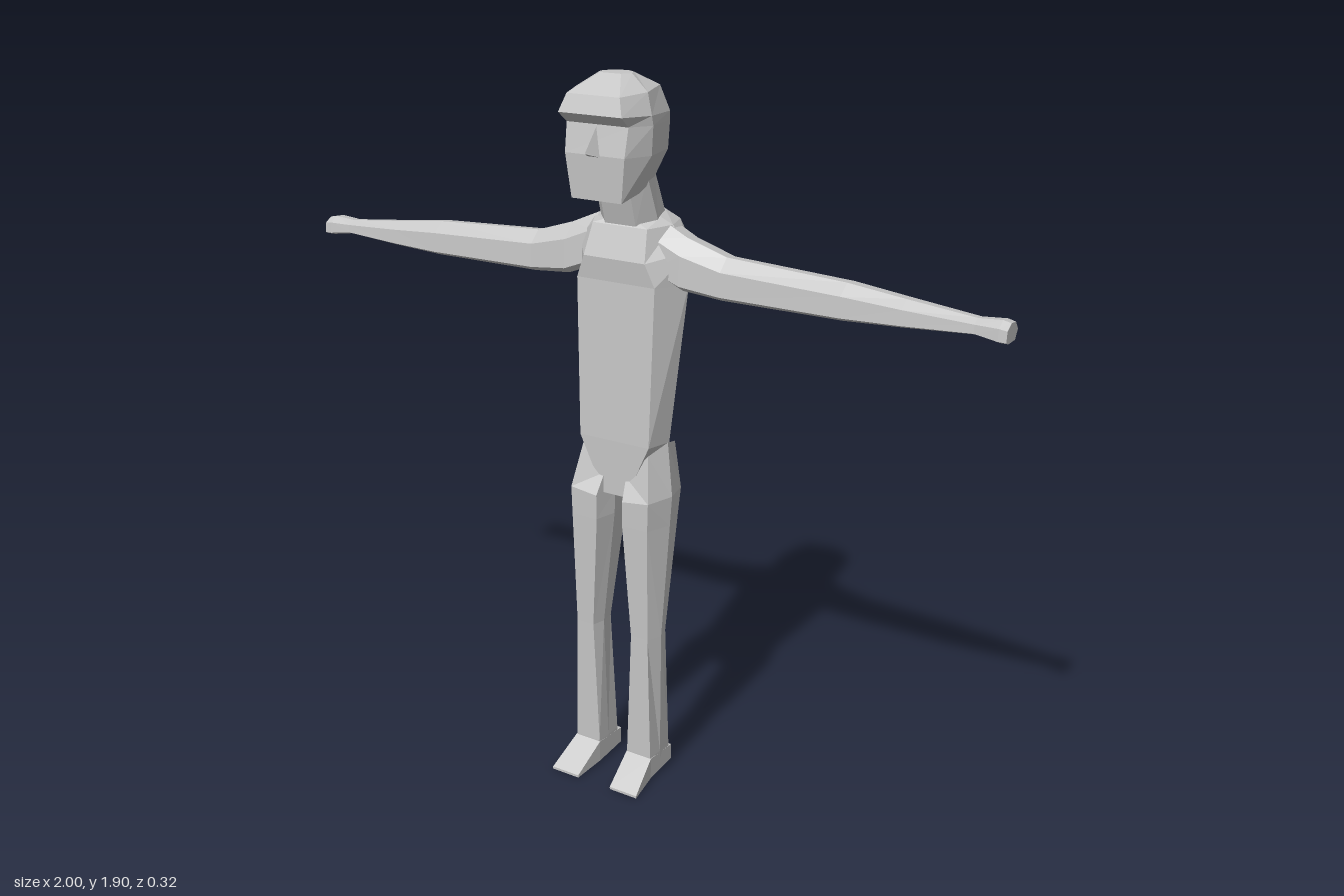
import * as THREE from 'three';

const grey = new THREE.MeshStandardMaterial({ color: 0xc6c6c6 });
grey.name = 'plainGrey';
grey.flatShading = true;

// Closed faceted skin through rings of [x, y, z] points, capped at both ends
function loft(name, rings) {
  const tris = [];
  const n = rings[0].length;
  for (let r = 0; r < rings.length - 1; r++) {
    for (let i = 0; i < n; i++) {
      const j = (i + 1) % n;
      const [a, b, c, d] = [rings[r][i], rings[r][j], rings[r + 1][j], rings[r + 1][i]];
      tris.push([a, b, c], [a, c, d]);
    }
  }
  const cap = (ring, flip) => {
    const mid = [0, 1, 2].map(k => ring.reduce((s, p) => s + p[k], 0) / n);
    ring.forEach((p, i) => {
      const q = ring[(i + 1) % n];
      tris.push(flip ? [mid, q, p] : [mid, p, q]);
    });
  };
  cap(rings[0], true);
  cap(rings[rings.length - 1], false);
  // Turn the skin outward if its signed volume is negative
  const v = p => new THREE.Vector3(...p);
  const volume = tris.reduce((s, [a, b, c]) => s + v(a).dot(v(b).cross(v(c))), 0);
  if (volume < 0) tris.forEach(t => t.reverse());
  const geo = new THREE.BufferGeometry();
  geo.setAttribute('position', new THREE.Float32BufferAttribute(tris.flat(2), 3));
  geo.computeVertexNormals();
  const mesh = new THREE.Mesh(geo, grey);
  mesh.name = name;
  return mesh;
}

// Full ring from a right-hand half profile of [x, z] points; y tilts from front to back
function mirrorRing(yFront, yBack, half, cx = 0.006) {
  const zF = half[0][1], zB = half[half.length - 1][1];
  const pt = (x, z) => [cx + x, yFront + (yBack - yFront) * (zF - z) / (zF - zB), z];
  return [...half.map(([x, z]) => pt(x, z)), ...half.slice().reverse().map(([x, z]) => pt(-x, z))];
}

function makeTorso() {
  return loft('torso', [
    mirrorRing(0.82, 0.84, [[0.035, 0.04], [0.04, 0], [0.035, -0.05], [0.01, -0.06]]),
    mirrorRing(0.97, 0.97, [[0.105, 0.042], [0.123, -0.03], [0.09, -0.09], [0.03, -0.105]]),
    mirrorRing(1.39, 1.39, [[0.115, 0.035], [0.163, -0.05], [0.115, -0.12], [0.05, -0.145]]),
    mirrorRing(1.45, 1.5, [[0.09, 0.042], [0.165, -0.05], [0.12, -0.12], [0.06, -0.16]]),
    mirrorRing(1.53, 1.54, [[0.08, 0.015], [0.115, -0.05], [0.1, -0.11], [0.05, -0.14]]),
    mirrorRing(1.54, 1.57, [[0.05, 0.005], [0.085, -0.04], [0.07, -0.085], [0.03, -0.105]]),
  ]);
}

function makeNeck() {
  return loft('neck', [
    mirrorRing(1.53, 1.56, [[0.045, 0.012], [0.085, -0.03], [0.075, -0.08], [0.03, -0.105]]),
    mirrorRing(1.66, 1.67, [[0.045, 0.05], [0.08, 0.015], [0.07, -0.035], [0.03, -0.055]]),
  ]);
}

// Head with a flat face and a recessed eye band beneath the brow
function makeHead() {
  const head = new THREE.Group();
  head.name = 'head';
  head.add(loft('skull', [
    mirrorRing(1.61, 1.65, [[0.072, 0.118], [0.08, 0.05], [0.07, -0.025], [0.03, -0.055]]),
    mirrorRing(1.72, 1.72, [[0.085, 0.125], [0.117, 0.055], [0.095, -0.055], [0.035, -0.09]]),
    mirrorRing(1.792, 1.79, [[0.088, 0.112], [0.121, 0.055], [0.1, -0.055], [0.035, -0.092]]),
    mirrorRing(1.818, 1.81, [[0.09, 0.145], [0.12, 0.06], [0.1, -0.055], [0.035, -0.088]]),
    mirrorRing(1.862, 1.875, [[0.075, 0.13], [0.102, 0.05], [0.08, -0.04], [0.03, -0.062]]),
    mirrorRing(1.905, 1.905, [[0.03, 0.055], [0.045, 0.03], [0.035, 0.005], [0.015, -0.01]]),
  ]));
  const cx = 0.004;
  head.add(loft('nose', [
    [[cx - 0.02, 1.715, 0.12], [cx + 0.02, 1.715, 0.12], [cx, 1.79, 0.11]],
    [[cx - 0.002, 1.728, 0.16], [cx + 0.002, 1.728, 0.16], [cx, 1.732, 0.16]],
  ]));
  return head;
}

// Arm stations along x: [x, yLow, yHigh, zFront, zBack]
function makeArm(side) {
  const name = side > 0 ? 'leftArm' : 'rightArm';
  const shift = -side * 0.006;
  const stations = [
    [0.09, 1.41, 1.545, 0.0, -0.13],
    [0.17, 1.38, 1.51, 0.005, -0.115],
    [0.28, 1.37, 1.475, -0.002, -0.108],
    [0.6, 1.37, 1.458, -0.002, -0.107],
    [0.75, 1.376, 1.44, -0.01, -0.098],
    [0.92, 1.386, 1.422, -0.02, -0.082],
    [0.98, 1.378, 1.428, -0.01, -0.084],
    [1.0, 1.378, 1.424, -0.01, -0.08],
  ];
  return loft(name, stations.map(([x, lo, hi, f, b]) => {
    const zf = f + shift * x, zb = b + shift * x, h = hi - lo, w = zf - zb;
    return [
      [lo + h * 0.12, zf], [lo + h * 0.7, zf - w * 0.03], [hi, zf - w * 0.35],
      [hi - h * 0.06, zf - w * 0.75], [lo + h * 0.5, zb], [lo, zb + w * 0.2], [lo, zf - w * 0.2],
    ].map(([y, z]) => [side * x, y, z]);
  }));
}

// Leg stations: [yOuter, yInner, xInner, xOuter, zFront, zBack]
function makeLeg(side) {
  const name = side > 0 ? 'leftLeg' : 'rightLeg';
  const cx = 0.006;
  const leg = new THREE.Group();
  leg.name = name;
  const stations = [
    [0.97, 0.86, 0.02, 0.122, 0.036, -0.1],
    [0.83, 0.815, 0.024, 0.146, 0.066, -0.102],
    [0.75, 0.75, 0.024, 0.143, 0.065, -0.09],
    [0.43, 0.43, 0.05, 0.13, 0.053, -0.038],
    [0.07, 0.07, 0.044, 0.123, 0.048, -0.057],
    [0.015, 0.015, 0.044, 0.122, 0.042, -0.06],
  ];
  leg.add(loft(name + 'Limb', stations.map(([yo, yi, xi, xo, f, b], k) => {
    const w = xo - xi, d = f - b;
    const e = k > 3 ? 0.03 : 0.22; // ankles are nearly square
    return [
      [xi + w * e * 0.6, f], [xo - w * e, f], [xo, f - d * 0.45], [xo - w * e * 0.7, b + d * 0.1],
      [xi + w * 0.4, b], [xi + w * e * 0.3, b + d * 0.15], [xi, f - d * 0.4],
    ].map(([x, z]) => [cx + side * x, yi + (yo - yi) * (x - xi) / w, z]);
  })));
  // Wedge foot, turned slightly outward
  const feet = [
    [-0.06, 0.044, 0.122, 0.015, 0.06],
    [0.048, 0.044, 0.123, 0.007, 0.068],
    [0.145, 0.052, 0.137, 0.0, 0.007],
  ];
  leg.add(loft(name + 'Foot', feet.map(([z, xi, xo, lo, hi]) =>
    [[xi, lo], [xo, lo], [xo, hi], [xi, hi]].map(([x, y]) => [cx + side * x, y, z]))));
  return leg;
}

export function createModel() {
  const figure = new THREE.Group();
  figure.name = 'standingFigure';
  figure.add(makeTorso(), makeNeck(), makeHead());
  for (const side of [1, -1]) figure.add(makeArm(side), makeLeg(side));
  return figure;
}
